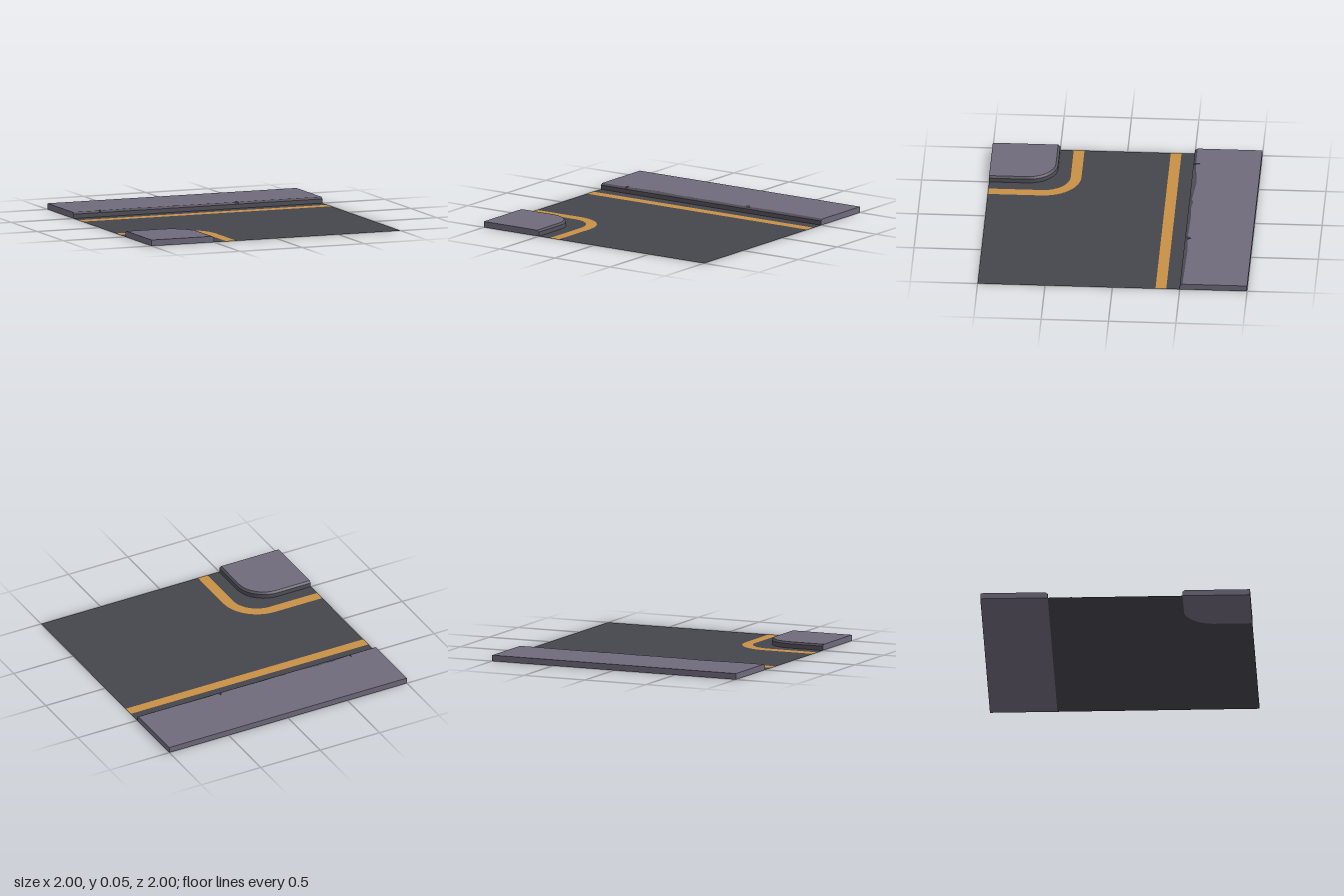
import * as THREE from 'three';

const H = 0.045, LIP = 0.032;

// Flat outline from [x, z] points, drawn with -z as the shape's y
const outline = (pts) => new THREE.Shape(pts.map(([x, z]) => new THREE.Vector2(x, -z)));

// Quarter turn from facing +x to facing -z, as [x, z] points
function bend(cx, cz, r, n = 12) {
  return Array.from({ length: n + 1 }, (_, i) => {
    const a = (i / n) * Math.PI / 2;
    return [cx + r * Math.cos(a), cz - r * Math.sin(a)];
  });
}

export function createModel() {
  const group = new THREE.Group();
  const material = (name, color, side = THREE.FrontSide) => {
    const m = new THREE.MeshStandardMaterial({ color, side });
    m.name = name;
    return m;
  };
  const asphalt = material('asphalt', 0x45454d, THREE.DoubleSide);
  const paving = material('paving', 0x706a7c);
  const curbStone = material('curb stone', 0x53515a);
  const paint = material('lane paint', 0xc89145, THREE.DoubleSide);

  const add = (name, geometry, mat) => {
    const mesh = new THREE.Mesh(geometry, mat);
    mesh.name = name;
    group.add(mesh);
  };
  const sheet = (name, pts, y, mat) =>
    add(name, new THREE.ShapeGeometry(outline(pts)).rotateX(-Math.PI / 2).translate(0, y, 0), mat);
  const slab = (name, pts) =>
    add(name, new THREE.ExtrudeGeometry(outline(pts), { depth: H, bevelEnabled: false })
      .rotateX(-Math.PI / 2), paving);

  // Curb with an upright face and a sloped upper edge, following two paths
  function curb(name, outer, inner) {
    const rings = outer.map(([x, z], i) => {
      const [u, w] = inner[i];
      return [[x, 0, z], [x, LIP, z], [u, H, w], [u, 0, w]];
    });
    const pos = [];
    const quad = (a, b, c, d) => pos.push(...a, ...b, ...c, ...a, ...c, ...d);
    const build = (mat, label) => {
      const g = new THREE.BufferGeometry();
      g.setAttribute('position', new THREE.Float32BufferAttribute(pos.splice(0), 3));
      g.computeVertexNormals();
      add(label, g, mat);
    };
    for (let i = 0; i < rings.length - 1; i++)
      for (let k = 0; k < 2; k++)
        quad(rings[i][k], rings[i + 1][k], rings[i + 1][k + 1], rings[i][k + 1]);
    build(curbStone, name);
    // Underside and cut ends
    for (let i = 0; i < rings.length - 1; i++)
      quad(rings[i][3], rings[i + 1][3], rings[i + 1][0], rings[i][0]);
    const first = rings[0], last = rings[rings.length - 1];
    quad(first[0], first[1], first[2], first[3]);
    quad(last[3], last[2], last[1], last[0]);
    build(paving, name + 'Ends');
  }

  // Back pavement with a chipped curb edge
  const chipped = [
    [-1, -0.52], [-0.785, -0.52], [-0.778, -0.55], [-0.77, -0.52], [-0.5, -0.54],
    [-0.25, -0.52], [-0.2, -0.532], [-0.16, -0.52], [0, -0.527], [0.3, -0.52],
    [0.325, -0.55], [0.332, -0.52], [0.5, -0.53], [1, -0.52],
  ];
  slab('backPavement', [...chipped, [1, -1], [-1, -1]]);
  curb('backCurb', chipped.map(([x]) => [x, -0.5]), chipped);

  // Rounded corner pavement
  const cornerPath = (edge, c, r) => [[edge, 1], ...bend(c, -c, r), [-1, -edge]];
  const cornerOuter = cornerPath(-0.5, -0.72, 0.22);
  const cornerInner = cornerPath(-0.516, -0.72, 0.204);
  slab('cornerPavement', [...cornerInner, [-1, 1]]);
  curb('cornerCurb', cornerOuter, cornerInner);

  // Road surface between the pavements
  sheet('road', [[1, 1], [1, -0.5], [-1, -0.5], ...[...cornerOuter].reverse()], 0, asphalt);

  // Painted lane lines
  sheet('backLine', [[-1, -0.32], [1, -0.32], [1, -0.4], [-1, -0.4]], 0.0015, paint);
  sheet('cornerLine', [
    ...cornerPath(-0.32, -0.6, 0.28),
    ...cornerPath(-0.4, -0.6, 0.2).reverse(),
  ], 0.0015, paint);

  return group;
}
